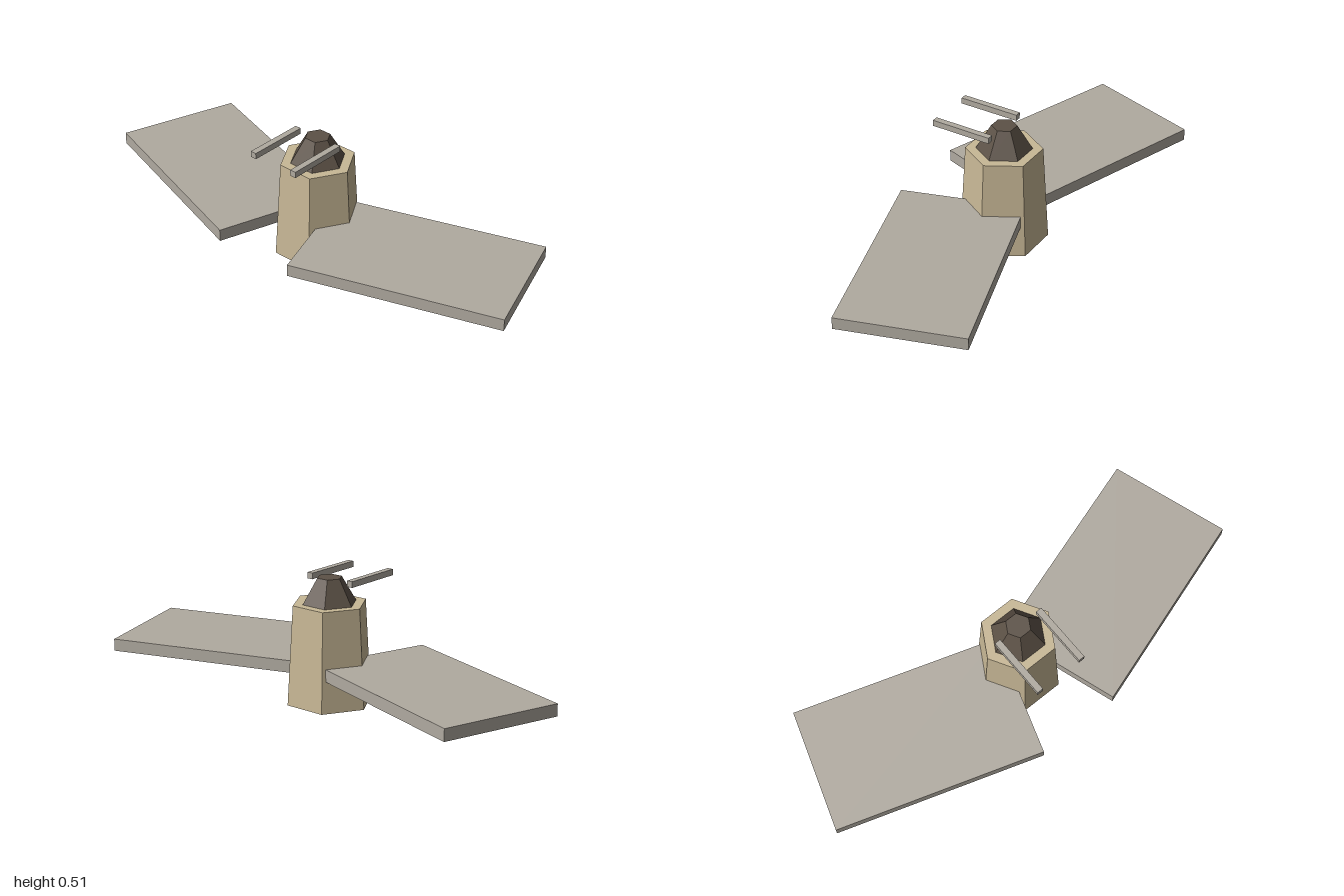
import * as THREE from 'three';

export function createModel() {
  const model = new THREE.Group();
  model.name = 'satellite';

  const flat = (name, color) => {
    const m = new THREE.MeshStandardMaterial({ color, flatShading: true });
    m.name = name;
    return m;
  };
  const tan = flat('tan hull', 0xc8b896);
  const brown = flat('dark brown', 0x5c5146);
  const grey = flat('warm grey', 0xb0aaa0);

  const add = (name, geometry, material, x, y, z) => {
    const mesh = new THREE.Mesh(geometry, material);
    mesh.name = name;
    mesh.position.set(x, y, z);
    model.add(mesh);
    return mesh;
  };

  // Hexagonal frustum with flat sides facing front and back
  const hexFrustum = (name, rTop, rBottom, y0, y1, material) => {
    const g = new THREE.CylinderGeometry(rTop, rBottom, y1 - y0, 6);
    g.rotateY(Math.PI / 6);
    add(name, g, material, 0, (y0 + y1) / 2, 0);
  };
  hexFrustum('body', 0.153, 0.177, 0, 0.408, tan);
  hexFrustum('noseCap', 0.051, 0.112, 0.408, 0.511, brown);

  // Swept panels and forward-pointing rods, mirrored on both sides
  for (const [side, s] of [['left', 1], ['right', -1]]) {
    const panel = add(side + 'Panel', new THREE.BoxGeometry(0.864, 0.05, 0.51), grey, s * 0.51, 0.155, 0);
    panel.rotation.y = s * THREE.MathUtils.degToRad(18);
    add(side + 'Rod', new THREE.BoxGeometry(0.026, 0.025, 0.256), grey, s * 0.102, 0.499, 0.128);
  }

  return model;
}
